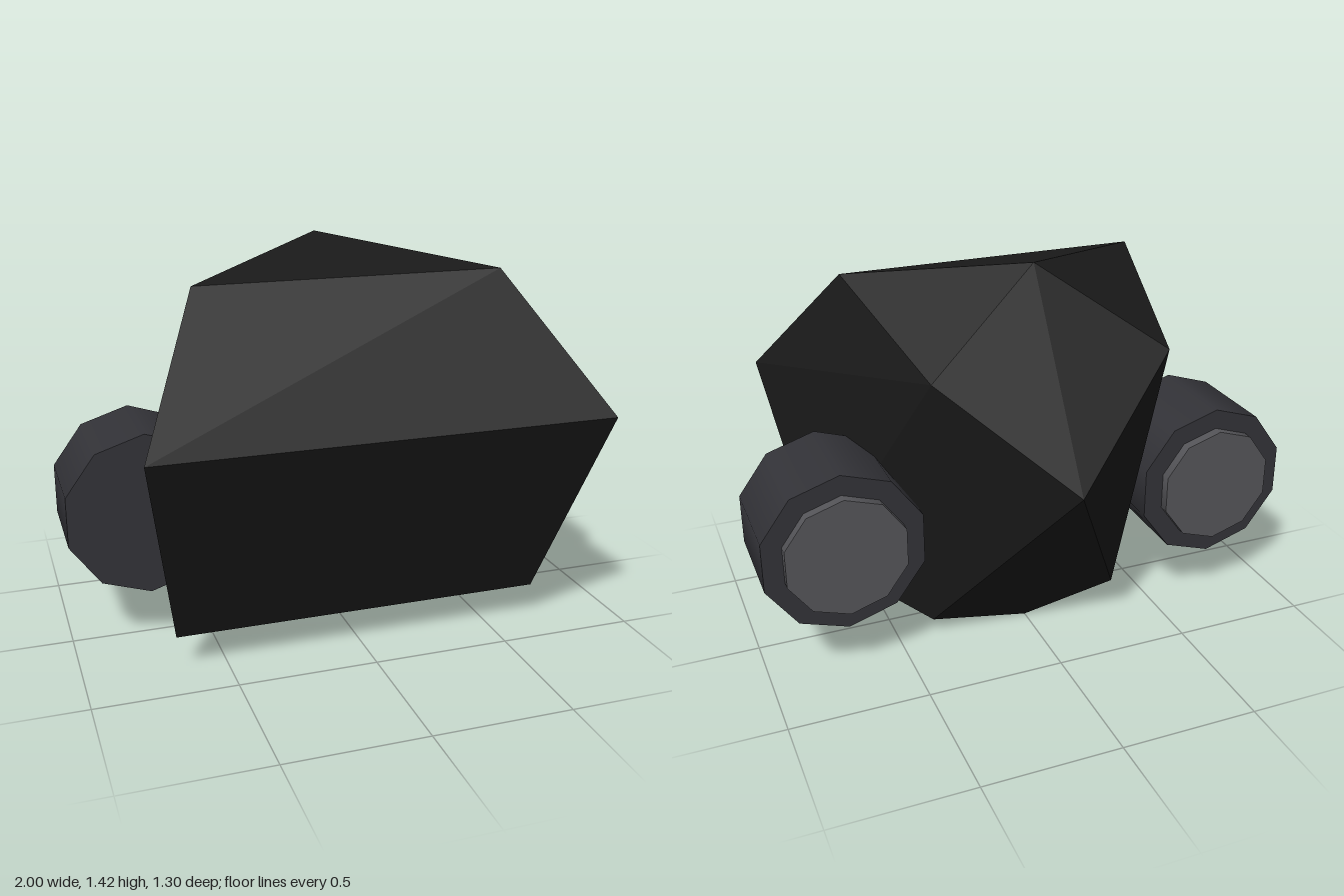
import * as THREE from 'three';
import { ConvexGeometry } from 'three/addons/geometries/ConvexGeometry.js';

const SIDES = 10;

function material(color, flatShading = false) {
  return new THREE.MeshStandardMaterial({ color, flatShading });
}

// Faceted hull from corners on the model's left half, mirrored in x
function makeHull() {
  const corners = [
    [0.81, 0.87, 0.65],   // front ridge
    [0.68, 0.13, 0.34],   // front bottom
    [0.56, 1.325, 0.215], // upper front
    [0.43, 1.12, -0.40],  // upper back
    [0.37, 0.065, -0.155], // lower back
    [0, 1.425, -0.215],   // top
    [0, 0.745, -0.65],    // tail
    [0, 0, -0.155],       // bottom
  ];
  const points = [];
  for (const [x, y, z] of corners) {
    points.push(new THREE.Vector3(x, y, z));
    if (x > 0) points.push(new THREE.Vector3(-x, y, z));
  }
  const hull = new THREE.Mesh(new ConvexGeometry(points), material(0x1a1a1a, true));
  hull.name = 'hull';
  return hull;
}

// Ten-sided drum lying along z, between two depths
function makeDrum(name, radius, zBack, zFront, color) {
  const geometry = new THREE.CylinderGeometry(radius, radius, zFront - zBack, SIDES);
  geometry.rotateX(Math.PI / 2);
  geometry.translate(0, 0, (zBack + zFront) / 2);
  const drum = new THREE.Mesh(geometry, material(color));
  drum.name = name;
  return drum;
}

// Engine pod with a paler nozzle disc at the back
function makeEngine(name, x) {
  const engine = new THREE.Group();
  engine.name = name;
  engine.add(
    makeDrum('engineBody', 0.298, -0.28, 0.093, 0x333338),
    makeDrum('engineNozzle', 0.223, -0.317, -0.27, 0x555559),
  );
  engine.position.set(x, 0.498, 0);
  return engine;
}

export function createModel() {
  const model = new THREE.Group();
  model.name = 'facetedPod';
  model.add(makeHull(), makeEngine('leftEngine', 0.717), makeEngine('rightEngine', -0.717));
  return model;
}
